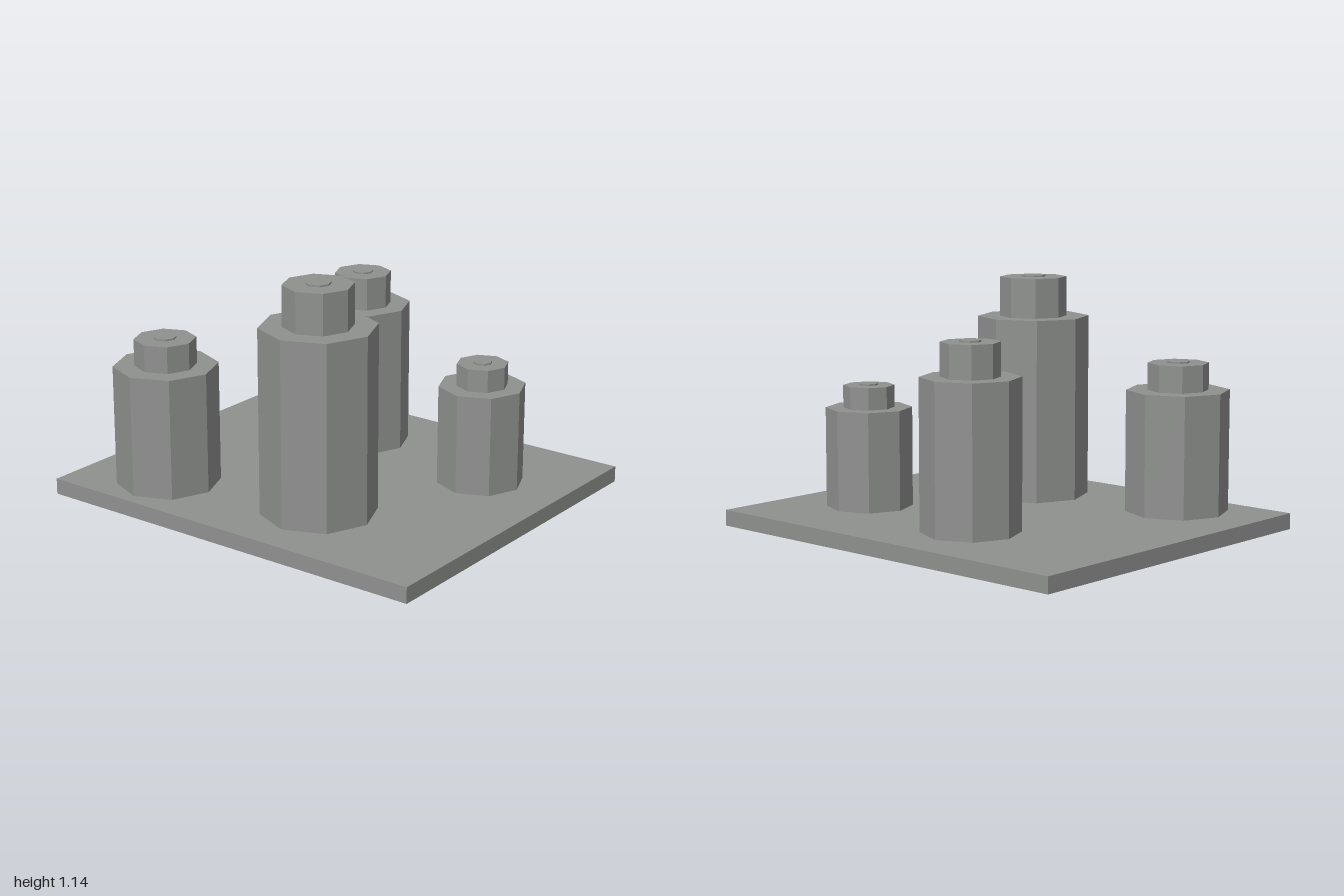
import * as THREE from 'three';

export function createModel() {
  const group = new THREE.Group();
  const gray = new THREE.MeshStandardMaterial({ color: 0x8f918f, flatShading: true });
  gray.name = 'concrete gray';

  const baseTop = 0.075;
  const base = new THREE.Mesh(new THREE.BoxGeometry(2, baseTop, 1.71), gray);
  base.name = 'base';
  base.position.y = baseTop / 2;
  group.add(base);

  // Octagonal tier standing between two heights
  const addTier = (parent, name, radius, bottom, top) => {
    const tier = new THREE.Mesh(new THREE.CylinderGeometry(radius, radius, top - bottom, 8), gray);
    tier.name = name;
    tier.position.y = (bottom + top) / 2;
    parent.add(tier);
  };

  // x, z, body radius, body top, upper radius, upper top
  const towers = [
    ['frontLeftTower', 0.215, 0.427, 0.267, 0.945, 0.16, 1.134],
    ['frontRightTower', -0.567, 0.555, 0.242, 0.645, 0.143, 0.771],
    ['backRightTower', -0.185, -0.441, 0.228, 0.77, 0.135, 0.925],
    ['backLeftTower', 0.583, -0.322, 0.203, 0.545, 0.12, 0.65],
  ];
  for (const [name, x, z, bodyR, bodyTop, upperR, upperTop] of towers) {
    const tower = new THREE.Group();
    tower.name = name;
    tower.position.set(x, 0, z);
    addTier(tower, 'body', bodyR, baseTop, bodyTop);
    addTier(tower, 'upperTier', upperR, bodyTop, upperTop);
    addTier(tower, 'capDisc', bodyR * 0.217, upperTop, upperTop + 0.008);
    group.add(tower);
  }
  return group;
}
